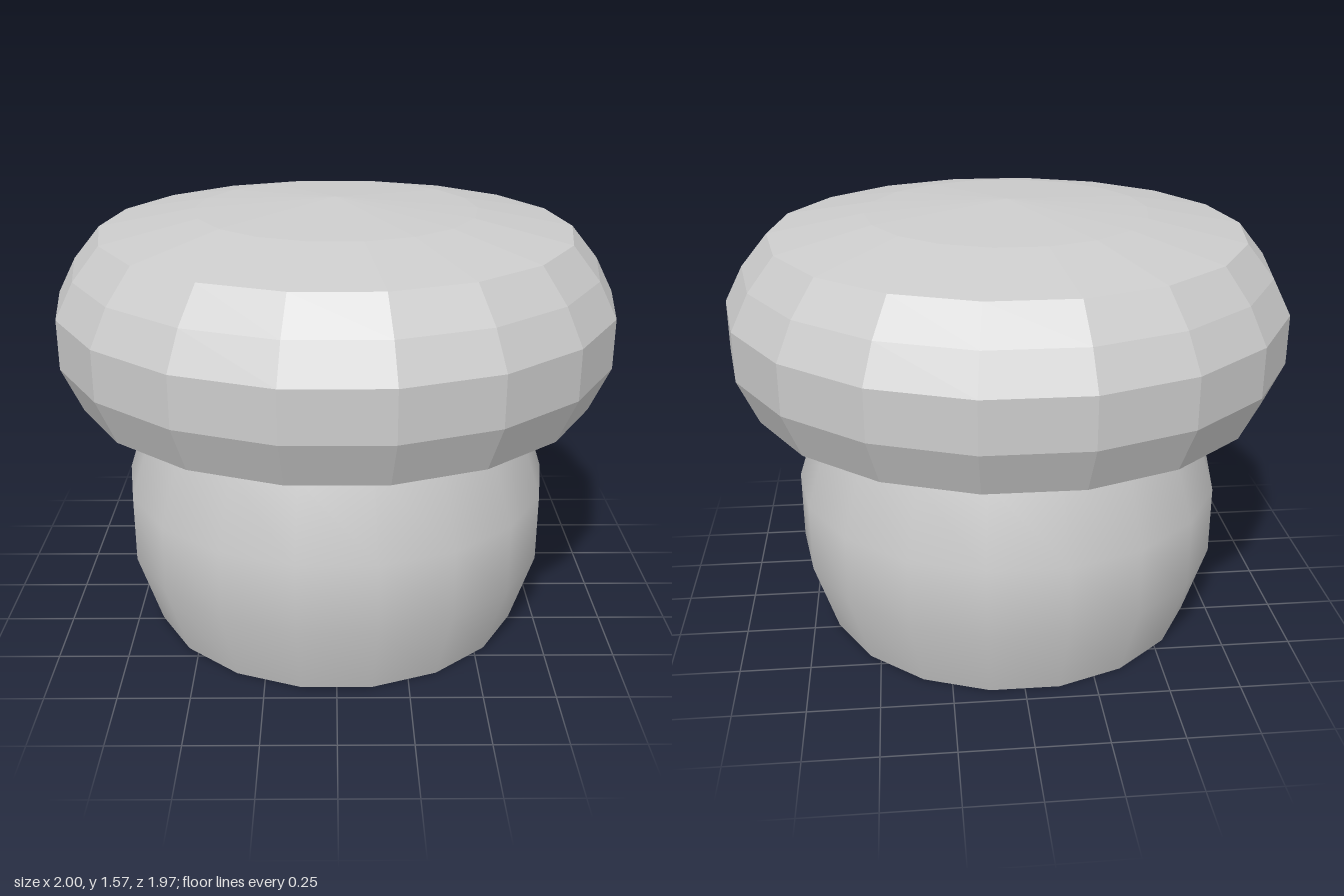
import * as THREE from 'three';

const SIDES = 18;

// Profile [radius, height] pairs, listed from bottom to top, spun with a corner on +x
function spin(name, profile, flatShading) {
  const points = profile.map(([r, y]) => new THREE.Vector2(r, y));
  const geometry = new THREE.LatheGeometry(points, SIDES, Math.PI / 2);
  const mesh = new THREE.Mesh(geometry, new THREE.MeshStandardMaterial({ color: 0xcccccc, flatShading }));
  mesh.name = name;
  return mesh;
}

export function createModel() {
  const model = new THREE.Group();
  model.name = 'mushroom';

  // Smooth barrel-shaped stem
  model.add(spin('stem', [[0.7, 0], [0.785, 0.27], [0.785, 0.525], [0.7, 0.785]], false));

  // Flat underside of the stem
  const base = new THREE.Mesh(
    new THREE.CircleGeometry(0.7, SIDES).rotateX(Math.PI / 2),
    new THREE.MeshStandardMaterial({ color: 0xcccccc })
  );
  base.name = 'stemBase';
  model.add(base);

  // Faceted cap with a shallow domed top
  model.add(spin('cap', [
    [0.7, 0.785], [0.93, 0.885], [1, 1.045], [1, 1.22],
    [0.935, 1.345], [0.84, 1.46], [0.5, 1.525], [0, 1.565],
  ], true));

  return model;
}
